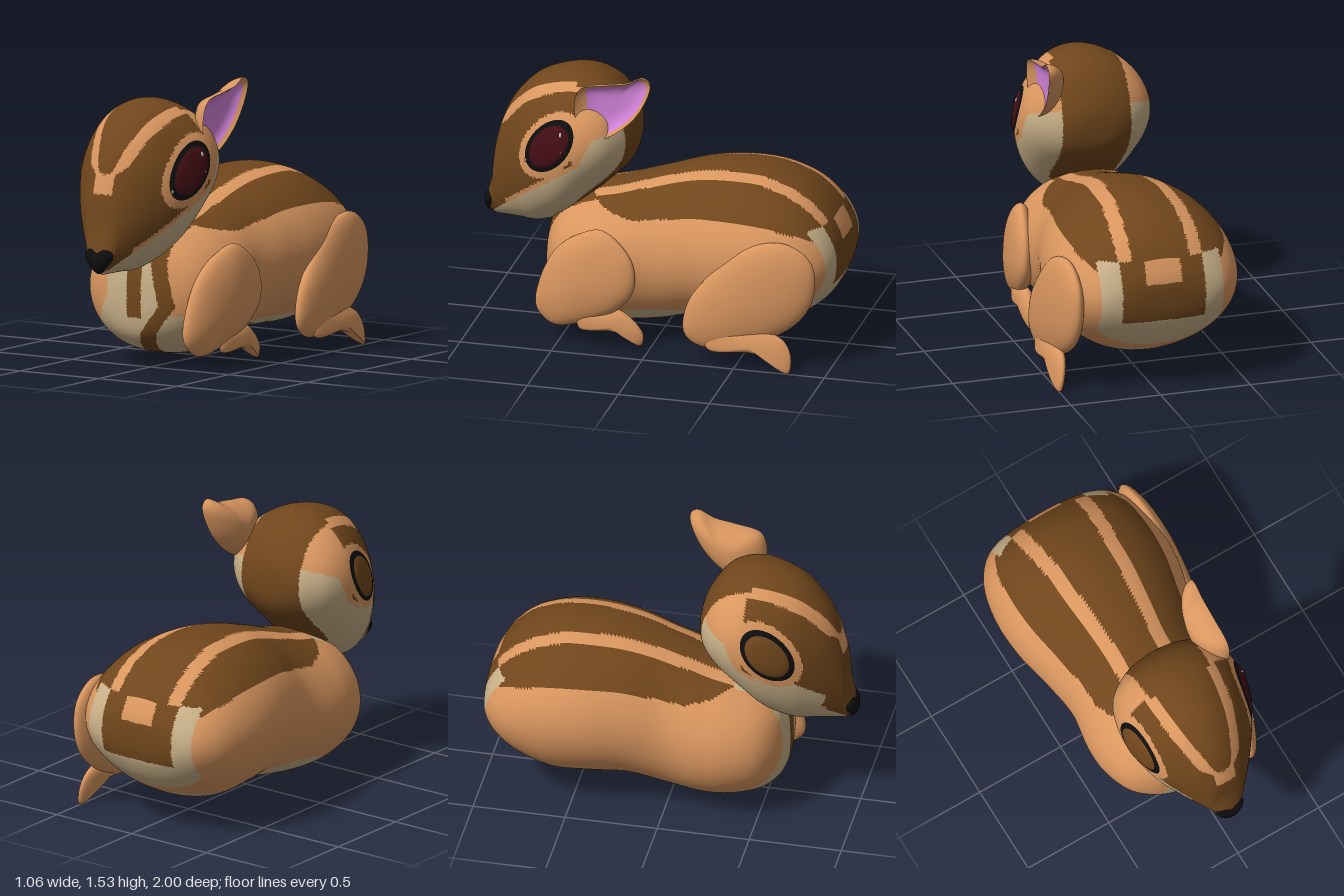
import * as THREE from 'three';

const ORANGE = 0xd9965f, BROWN = 0x70461c, PALE = 0xc9b189, BLACK = 0x0e0e0e;
const RED = 0x420d14, PINK = 0xd585dc, WHITE = 0xeeeeee;
const CX = -0.025; // middle of body and head

const materials = {};
const mat = (c) => (materials[c] ??= new THREE.MeshStandardMaterial({ color: c, roughness: 0.8 }));

// Closed-around surface; each face is sorted into a mesh by its painted colour
function surface(name, nu, nv, pos, paint) {
  const xyz = [], faces = {}, all = [];
  for (let j = 0; j <= nv; j++)
    for (let i = 0; i < nu; i++) xyz.push(...pos((i / nu) * Math.PI * 2, j / nv));
  const mid = (t, k) => (xyz[t[0] * 3 + k] + xyz[t[1] * 3 + k] + xyz[t[2] * 3 + k]) / 3;
  for (let j = 0; j < nv; j++)
    for (let i = 0; i < nu; i++) {
      const n = (i + 1) % nu;
      const a = j * nu + i, b = a + nu, c = (j + 1) * nu + n, d = j * nu + n;
      for (const t of [[a, c, b], [a, d, c]]) {
        const color = paint(mid(t, 0), mid(t, 1), mid(t, 2), (j + 0.5) / nv);
        (faces[color] ??= []).push(...t);
        all.push(...t);
      }
    }
  const whole = new THREE.BufferGeometry();
  whole.setAttribute('position', new THREE.Float32BufferAttribute(xyz, 3));
  whole.setIndex(all);
  whole.computeVertexNormals();
  const group = new THREE.Group();
  group.name = name;
  for (const color in faces) {
    const g = new THREE.BufferGeometry();
    g.setAttribute('position', whole.attributes.position);
    g.setAttribute('normal', whole.attributes.normal);
    g.setIndex(faces[color]);
    const mesh = new THREE.Mesh(g, mat(Number(color)));
    mesh.name = name + 'Patch';
    group.add(mesh);
  }
  return group;
}

// Smooth interpolation through rows of [z, top, bottom, halfWidth]
function sections(rows) {
  const spline = (f) => new THREE.CatmullRomCurve3(rows.map(f), false, 'catmullrom', 0.5);
  const side = spline((r) => new THREE.Vector3(r[0], r[1], r[2]));
  const width = spline((r) => new THREE.Vector3(r[3], 0, 0));
  return (v) => {
    const p = side.getPoint(v);
    return { z: p.x, c: (p.y + p.z) / 2, h: (p.y - p.z) / 2, w: Math.max(0, width.getPoint(v).x) };
  };
}

const loft = (name, sec, nu, nv, paint) => surface(name, nu, nv, (u, v) => {
  const s = sec(v);
  return [CX + s.w * Math.cos(u), s.c - s.h * Math.sin(u), s.z];
}, paint);

// Puffed form from a [z, y] outline (clockwise seen from +x)
function pillow(name, outline, xAt, paint) {
  const curve = new THREE.CatmullRomCurve3(outline.map(([z, y]) => new THREE.Vector3(0, y, z)), true);
  const m = new THREE.Vector3();
  curve.getSpacedPoints(60).slice(1).forEach((p) => m.addScaledVector(p, 1 / 60));
  return surface(name, 64, 32, (u, v) => {
    const p = curve.getPointAt((u / (Math.PI * 2)) % 1);
    const r = Math.sin(v * Math.PI);
    p.lerp(m, 1 - r);
    return [xAt(p.y, p.z, Math.cos(v * Math.PI), r), p.y, p.z];
  }, paint);
}

const bodySections = sections([
  [0.632, 0.4, 0.4, 0], [0.625, 0.52, 0.27, 0.13], [0.59, 0.65, 0.17, 0.25], [0.5, 0.73, 0.1, 0.36],
  [0.35, 0.79, 0.06, 0.42], [0.2, 0.83, 0.05, 0.43], [0, 0.9, 0.07, 0.41], [-0.2, 0.96, 0.12, 0.45],
  [-0.4, 0.985, 0.12, 0.495], [-0.6, 0.975, 0.12, 0.505], [-0.78, 0.91, 0.19, 0.475],
  [-0.9, 0.81, 0.28, 0.41], [-0.97, 0.7, 0.38, 0.32], [-0.995, 0.62, 0.46, 0.19], [-1, 0.54, 0.54, 0]]);

const headSections = sections([
  [0.985, 0.63, 0.63, 0], [0.975, 0.69, 0.58, 0.05], [0.945, 0.83, 0.56, 0.085], [0.925, 1.0, 0.55, 0.11],
  [0.865, 1.18, 0.55, 0.17], [0.785, 1.3, 0.55, 0.235], [0.68, 1.39, 0.55, 0.3], [0.53, 1.44, 0.61, 0.352],
  [0.4, 1.437, 0.73, 0.36], [0.28, 1.38, 0.84, 0.32], [0.2, 1.28, 0.92, 0.23], [0.16, 1.19, 1.0, 0.13],
  [0.15, 1.1, 1.1, 0]]);

// Straight-line interpolation through [key, value] pairs with falling keys
function ramp(pairs, k) {
  if (k >= pairs[0][0]) return pairs[0][1];
  for (let i = 1; i < pairs.length; i++) {
    const [a, va] = pairs[i - 1], [b, vb] = pairs[i];
    if (k >= b) return va + ((vb - va) * (a - k)) / (a - b);
  }
  return pairs[pairs.length - 1][1];
}

// Coat pattern of the body: back stripes, rump patch, belly and chest
function paintBody(x, y, z) {
  const dx = x - CX, ax = Math.abs(dx);
  if (z < -0.86 && y < 0.75) {
    if (ax < 0.1 && y > 0.63) return ORANGE;
    if (ax < 0.23 && y > 0.42) return BROWN;
    if (ax < 0.34) return PALE;
  }
  const edge = ramp([[0.43, 0.79], [0.25, 0.73], [0.1, 0.71], [-0.1, 0.75], [-0.3, 0.79], [-0.6, 0.79], [-0.8, 0.74], [-0.95, 0.68]], z);
  if (z < 0.43 && y > edge) {
    const k = THREE.MathUtils.clamp((0.1 - z) / 0.9, 0, 1);
    return ax > 0.09 + 0.07 * k && ax < 0.165 + 0.07 * k ? ORANGE : BROWN;
  }
  if (z > 0.2) {
    if (dx > -0.04 && dx < 0.05 && y > 0.28) return BROWN;
    const band = ramp([[0.6, 0.14], [0.35, 0.2], [0.2, 0.08], [0.05, 0.01]], y);
    if (Math.abs(dx - band) < 0.045) return BROWN;
    if (dx > -(y > 0.4 ? 0.17 : 0.17 + (0.4 - y) * 0.6) && dx < (y > 0.3 ? band : 0.28)) return PALE;
    return ORANGE;
  }
  return y < 0.2 && ax < 0.32 ? PALE : ORANGE;
}

// Eye ellipse lying on the side of the head
const EYE = { z: 0.565, y: 1.09, long: 0.16, short: 0.095 };
const eyeDistance = (y, z) => Math.hypot(
  ((z - EYE.z) * -0.65 + (y - EYE.y) * 0.76) / EYE.long, ((z - EYE.z) * 0.76 + (y - EYE.y) * 0.65) / EYE.short);

// Coat pattern of the head: crown stripes, eye rings, cheeks and throat
function paintHead(x, y, z) {
  const dx = x - CX, ax = Math.abs(dx);
  if (z < 0.45 && ax < 0.19) return BROWN;
  const jaw = ramp([[0.95, 0.57], [0.9, 0.62], [0.7, 0.79], [0.55, 0.9], [0.4, 1.0], [0.33, 1.15], [0.2, 1.2]], z);
  if (eyeDistance(y, z) < 1.42 && ax > 0.17) return ORANGE;
  if (y < jaw + (dx < -0.17 && z > 0.5 ? 0.12 : 0)) return PALE;
  if (y < jaw + 0.03 && z < 0.85) return ORANGE;
  if (z < 0.43) return ORANGE;
  if (y > 0.98) {
    const inner = ramp([[1.42, 0.165], [1.3, 0.11], [1.1, 0.045], [1.08, 0]], y);
    const outer = ramp([[1.42, 0.235], [1.3, 0.185], [1.13, 0.12], [1.08, 0.06]], y);
    if (ax > inner && ax < outer) return ORANGE;
  }
  return BROWN;
}

// Half width of the head at a given height and depth
function headX(y, z) {
  let lo = 0, hi = 1;
  for (let i = 0; i < 30; i++) {
    const m = (lo + hi) / 2;
    if (headSections(m).z > z) lo = m; else hi = m;
  }
  const s = headSections(lo);
  return s.w * Math.sqrt(Math.max(0, 1 - ((y - s.c) / s.h) ** 2));
}

// Domed patch following the head's surface
const eyePatch = (name, side, scale, lift, color) => surface(name, 40, 10, (u, v) => {
  const a = Math.cos(-side * u) * EYE.long * scale * v, b = Math.sin(-side * u) * EYE.short * scale * v;
  const z = EYE.z - 0.65 * a + 0.76 * b, y = EYE.y + 0.76 * a + 0.65 * b;
  return [CX + side * (headX(y, z) + lift * (1 - v ** 6) + 0.001), y, z];
}, () => color);

export function createModel() {
  const model = new THREE.Group();
  model.name = 'fawn';
  model.add(loft('body', bodySections, 160, 140, paintBody));
  model.add(loft('head', headSections, 140, 120, paintHead));

  // Eyes with dark rims
  for (const side of [1, -1]) {
    model.add(eyePatch('eyeRim', side, 1.12, 0.006, BLACK));
    model.add(eyePatch('eye', side, 0.97, 0.014, side > 0 ? RED : BROWN));
  }
  for (const [y, z, r] of [[1.17, 0.495, 0.014], [1.08, 0.49, 0.006], [0.99, 0.7, 0.01]]) {
    const glint = new THREE.Mesh(new THREE.SphereGeometry(r, 12, 8), mat(WHITE));
    glint.name = 'eyeGlint';
    glint.scale.set(0.6, 1.2, 0.6);
    glint.position.set(CX + headX(y, z) + 0.011, y, z);
    model.add(glint);
  }

  // Heart-shaped nose
  const noseGeo = new THREE.SphereGeometry(1, 32, 24);
  const p = noseGeo.attributes.position;
  for (let i = 0; i < p.count; i++) {
    const x = p.getX(i), y = p.getY(i);
    p.setX(i, x * (0.8 + 0.4 * y));
    p.setY(i, y - (y > 0 ? 0.35 * Math.exp(-20 * x * x) * y : 0));
  }
  noseGeo.computeVertexNormals();
  const nose = new THREE.Mesh(noseGeo, mat(BLACK));
  nose.name = 'nose';
  nose.scale.set(0.095, 0.073, 0.045);
  nose.position.set(CX, 0.63, 0.954);
  model.add(nose);

  // Cupped ear with a pink inside
  model.add(pillow('ear',
    [[0.43, 1.3], [0.4, 1.43], [0.25, 1.47], [0.14, 1.49], [0.05, 1.53], [0.01, 1.5], [0.06, 1.35], [0.17, 1.22], [0.3, 1.15], [0.4, 1.21]],
    (y, z, c, r) => 0.285 + 0.06 * (y - 1.25) - (c > 0 ? 0.05 * (1 - r ** 4) : -0.13 * c),
    (x, y, z, v) => (v < 0.35 && z < 0.37 ? PINK : ORANGE)));

  // Folded legs and feet on the left side
  const limb = (name, outline, centre, thick) =>
    model.add(pillow(name, outline, (y, z, c) => centre(y, z) + thick * c, () => ORANGE));
  limb('frontLeg',
    [[0.25, 0.667], [0.09, 0.53], [0.07, 0.36], [0.17, 0.225], [0.41, 0.11], [0.54, 0.09], [0.63, 0.17], [0.62, 0.305], [0.52, 0.52], [0.38, 0.63]],
    (y, z) => 0.4 - 0.17 * (z - 0.1), 0.082);
  limb('frontFoot',
    [[0.38, 0.18], [0.17, 0.225], [0.08, 0.17], [0.025, 0.09], [0.04, 0.03], [0.11, 0.075], [0.2, 0.1], [0.38, 0.1]],
    () => 0.375, 0.045);
  limb('hindLeg',
    [[-0.77, 0.72], [-0.91, 0.62], [-0.92, 0.42], [-0.82, 0.26], [-0.55, 0.12], [-0.31, 0.1], [-0.22, 0.17], [-0.235, 0.33], [-0.34, 0.49], [-0.555, 0.68]],
    (y, z) => 0.445 + 0.05 * (z + 0.6), 0.08);
  limb('hindFoot',
    [[-0.35, 0.21], [-0.61, 0.235], [-0.77, 0.18], [-0.815, 0.09], [-0.8, 0.003], [-0.73, 0.06], [-0.6, 0.1], [-0.35, 0.1]],
    (y) => 0.47 + 0.15 * Math.max(0, 0.2 - y), 0.045);
  return model;
}
